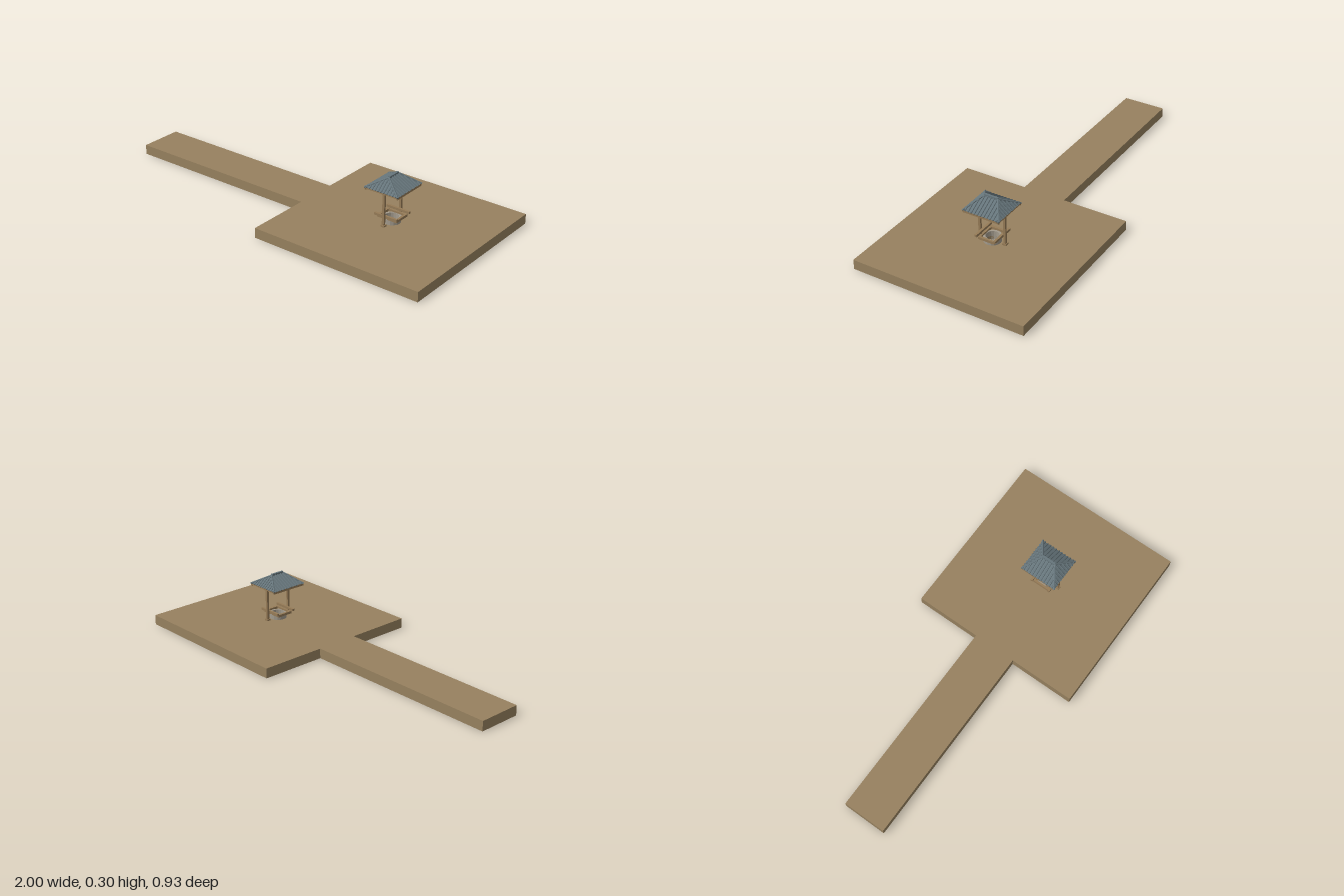
import * as THREE from 'three';

const CX = 0.5375; // centre of the yard and the well

function material(name, color) {
  const m = new THREE.MeshStandardMaterial({ color, flatShading: true });
  m.name = name;
  return m;
}

export function createModel() {
  const earth = material('earth', 0x97815f);
  const wood = material('wood', 0x967b57);
  const stone = material('stone', 0xa39b8d);
  const tile = material('roofTile', 0x66757b);
  tile.side = THREE.DoubleSide;
  const iron = material('iron', 0x4a4d4e);

  const model = new THREE.Group();
  model.name = 'wellYard';
  const well = new THREE.Group();
  well.name = 'well';
  well.position.x = CX;
  model.add(well);

  const add = (name, geometry, mat, x = 0, y = 0, z = 0, parent = well) => {
    const mesh = new THREE.Mesh(geometry, mat);
    mesh.name = name;
    mesh.position.set(x, y, z);
    parent.add(mesh);
    return mesh;
  };
  const box = (name, w, h, d, x, y, z, mat = wood) =>
    add(name, new THREE.BoxGeometry(w, h, d), mat, x, y, z);

  // Square yard with a path, pierced by the well shaft
  const h = 0.4625, p = 0.115, x0 = 0.075;
  const outline = new THREE.Shape([
    [-1, -p], [x0, -p], [x0, -h], [1, -h], [1, h], [x0, h], [x0, p], [-1, p],
  ].map(([x, y]) => new THREE.Vector2(x, y)));
  outline.holes.push(new THREE.Path().absarc(CX, 0, 0.034, 0, Math.PI * 2, true));
  const ground = new THREE.ExtrudeGeometry(outline, { depth: 0.052, bevelEnabled: false, curveSegments: 8 });
  ground.rotateX(-Math.PI / 2);
  add('ground', ground, earth, 0, 0, 0, model);

  // Stone ring and shaft lining
  const ring = [[0.034, 0.001], [0.045, 0.001], [0.045, 0.08], [0.034, 0.08], [0.034, 0.001]]
    .map(([x, y]) => new THREE.Vector2(x, y));
  add('stoneRing', new THREE.LatheGeometry(ring, 16), stone);

  for (const s of [-1, 1]) {
    // Crossed curb beams on the ring
    box('lowerCurbBeam', 0.012, 0.013, 0.09, s * 0.051, 0.083, 0);
    box('upperCurbBeam', 0.13, 0.012, 0.012, 0, 0.096, s * 0.052);
    box('innerCurbBeam', 0.1, 0.012, 0.009, 0, 0.083, s * 0.04);
    // Posts with feet and caps
    box('postFoot', 0.02, 0.01, 0.021, 0, 0.056, s * 0.07);
    box('post', 0.012, 0.17, 0.012, 0, 0.138, s * 0.07);
    box('crossBeam', 0.17, 0.008, 0.012, 0, 0.235, s * 0.07);
    // Eave beams
    box('sideEave', 0.008, 0.012, 0.2, s * 0.09, 0.237, 0);
    box('endEave', 0.18, 0.008, 0.008, 0, 0.239, s * 0.095);
    // Pulley hangers
    box('pulleyHanger', 0.008, 0.026, 0.004, 0, 0.21, s * 0.008);
  }
  box('topBeam', 0.014, 0.011, 0.16, 0, 0.226, 0);

  // Pulley wheel, axle and hook
  const wheel = add('pulleyWheel', new THREE.CylinderGeometry(0.014, 0.014, 0.007, 14), wood, 0, 0.203, 0);
  wheel.rotation.x = Math.PI / 2;
  const axle = add('pulleyAxle', new THREE.CylinderGeometry(0.003, 0.003, 0.028, 8), iron, 0, 0.203, 0);
  axle.rotation.x = Math.PI / 2;
  box('ropeEnd', 0.004, 0.008, 0.004, 0, 0.188, 0, iron);

  // Hipped roof surface
  const W = 0.095, D = 0.1, R = 0.036, Y0 = 0.242, Y1 = 0.295;
  const roof = new THREE.BufferGeometry();
  roof.setAttribute('position', new THREE.Float32BufferAttribute([
    -W, Y0, D, W, Y0, D, W, Y0, -D, -W, Y0, -D, 0, Y1, R, 0, Y1, -R,
  ], 3));
  roof.setIndex([0, 1, 4, 1, 2, 5, 1, 5, 4, 2, 3, 5, 3, 0, 4, 3, 4, 5]);
  const roofFlat = roof.toNonIndexed();
  roofFlat.computeVertexNormals();
  add('roof', roofFlat, tile);

  // Round tile rows, each laid from the eave to the hip or ridge
  const up = new THREE.Vector3(0, 1, 0);
  const row = (name, a, b, r) => {
    const from = new THREE.Vector3(...a), dir = new THREE.Vector3(...b).sub(from);
    const mesh = add(name, new THREE.CylinderGeometry(r, r, dir.length(), 6), tile);
    mesh.position.copy(from).addScaledVector(dir, 0.5);
    mesh.quaternion.setFromUnitVectors(up, dir.normalize());
  };
  const rise = Y1 - Y0;
  for (const s of [-1, 1]) {
    for (let i = -5; i <= 5; i++) {
      const z = i * 0.0172;
      const t = Math.min(1, (D - Math.abs(z)) / (D - R));
      row('sideTileRow', [s * W, Y0, z], [s * W * (1 - t), Y0 + rise * t, z], 0.0042);
      const x = i * 0.0165;
      const u = 1 - Math.abs(x) / W;
      row('endTileRow', [x, Y0, s * D], [x, Y0 + rise * u, s * (D - (D - R) * u)], 0.0042);
    }
    for (const q of [-1, 1]) row('hipTile', [q * W, Y0, s * D], [0, Y1, s * R], 0.005);
  }
  box('ridgeCap', 0.012, 0.01, 0.074, 0, 0.297, 0, tile);

  return model;
}
